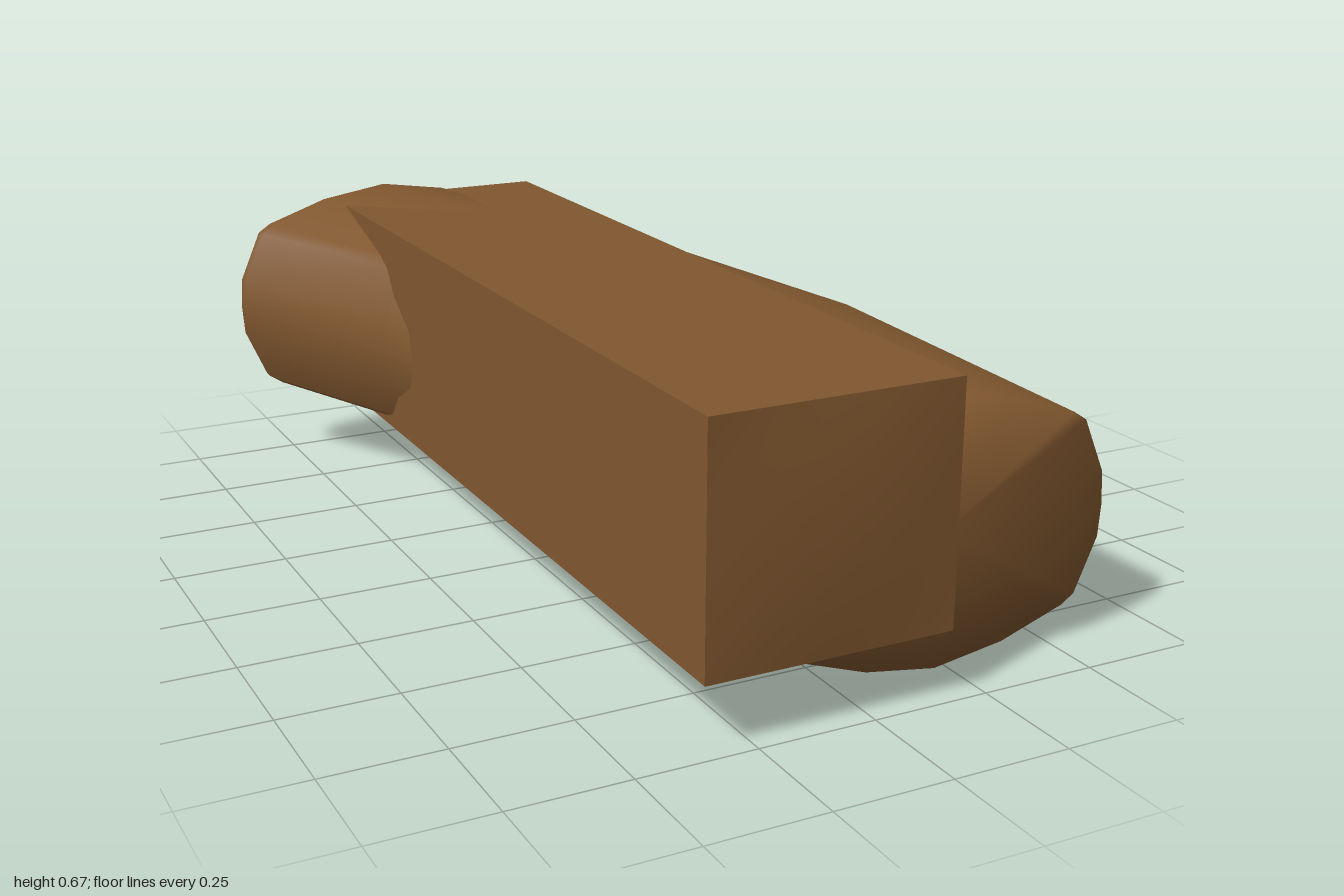
import * as THREE from 'three';

const brown = new THREE.MeshStandardMaterial({ color: 0x80572f, side: THREE.DoubleSide });
brown.name = 'brown';

// Half-width and half-height offsets of one quarter of the duct section
const QUARTER = [[0.39, 0], [0.385, 0.07], [0.335, 0.185], [0.305, 0.205], [0.16, 0.255], [0, 0.28]];

function sectionPoints() {
  const q = QUARTER;
  const upperLeft = q.slice(0, -1).reverse().map(([x, y]) => [-x, y]);
  const upper = [...q, ...upperLeft];
  const lower = upper.slice(1, -1).reverse().map(([x, y]) => [x, -y]);
  return [...upper, ...lower];
}

// Joins closed rings of the section; a ring of scale 0 closes the end
function loft(rings) {
  const pts = sectionPoints();
  const n = pts.length;
  const pos = [], idx = [];
  for (const [cx, cy, z, s] of rings) {
    for (const [x, y] of pts) pos.push(cx + x * s, cy + y * s, z);
  }
  for (let r = 0; r < rings.length - 1; r++) {
    for (let i = 0; i < n; i++) {
      const a = r * n + i, b = r * n + (i + 1) % n;
      idx.push(a, a + n, b, b, a + n, b + n);
    }
  }
  const g = new THREE.BufferGeometry();
  g.setAttribute('position', new THREE.Float32BufferAttribute(pos, 3));
  g.setIndex(idx);
  g.computeVertexNormals();
  return g;
}

export function createModel() {
  const model = new THREE.Group();
  const add = (name, geometry, x = 0, y = 0, z = 0) => {
    const mesh = new THREE.Mesh(geometry, brown);
    mesh.name = name;
    mesh.position.set(x, y, z);
    model.add(mesh);
    return mesh;
  };

  // Straight rectangular housing, open at the back
  const x0 = -0.355, x1 = 0.176, y0 = 0.145, y1 = 0.646, wall = 0.016;
  const w = x1 - x0, h = y1 - y0, cx = (x0 + x1) / 2, cy = (y0 + y1) / 2;
  const outline = new THREE.Shape();
  outline.moveTo(x0, y0).lineTo(x1, y0).lineTo(x1, y1).lineTo(x0, y1).closePath();
  const opening = new THREE.Path();
  opening.moveTo(x0 + wall, y0 + wall).lineTo(x0 + wall, y1 - wall)
    .lineTo(x1 - wall, y1 - wall).lineTo(x1 - wall, y0 + wall).closePath();
  outline.holes.push(opening);
  add('housingWalls', new THREE.ExtrudeGeometry(outline, { depth: 1.985, bevelEnabled: false }), 0, 0, -1);

  // Slightly domed front plate
  const plate = new THREE.PlaneGeometry(w, h, 8, 8);
  const p = plate.attributes.position;
  for (let i = 0; i < p.count; i++) {
    const u = p.getX(i) / (w / 2), v = p.getY(i) / (h / 2);
    p.setZ(i, 0.014 * (1 - u * u) * (1 - v * v));
  }
  plate.computeVertexNormals();
  add('housingFront', plate, cx, cy, 0.986);

  // Bent duct crossing the housing, open at the back and closed at the front
  const path = [
    [-0.225, 0.395, -1], [-0.225, 0.395, -0.97], [0.005, 0.36, -0.58],
    [0.185, 0.325, 0.1], [0.225, 0.285, 0.865],
  ];
  const rings = path.map((c) => [...c, 1]);
  add('ductShell', loft([...rings, [0.225, 0.285, 0.865, 0]]));
  const inner = path.map(([x, y, z], i) => [x, y, i === 4 ? 0.845 : z, 0.945]);
  add('ductLining', loft([...inner, [0.225, 0.285, 0.845, 0]]));
  add('ductRim', loft([rings[0], inner[0]]));

  // Horizontal slats across the back opening
  const slats = 5;
  for (let i = 1; i <= slats; i++) {
    add('slat' + i, new THREE.BoxGeometry(w - wall, 0.018, 0.04), cx, y0 + (h * i) / (slats + 1), -0.97);
  }

  return model;
}
